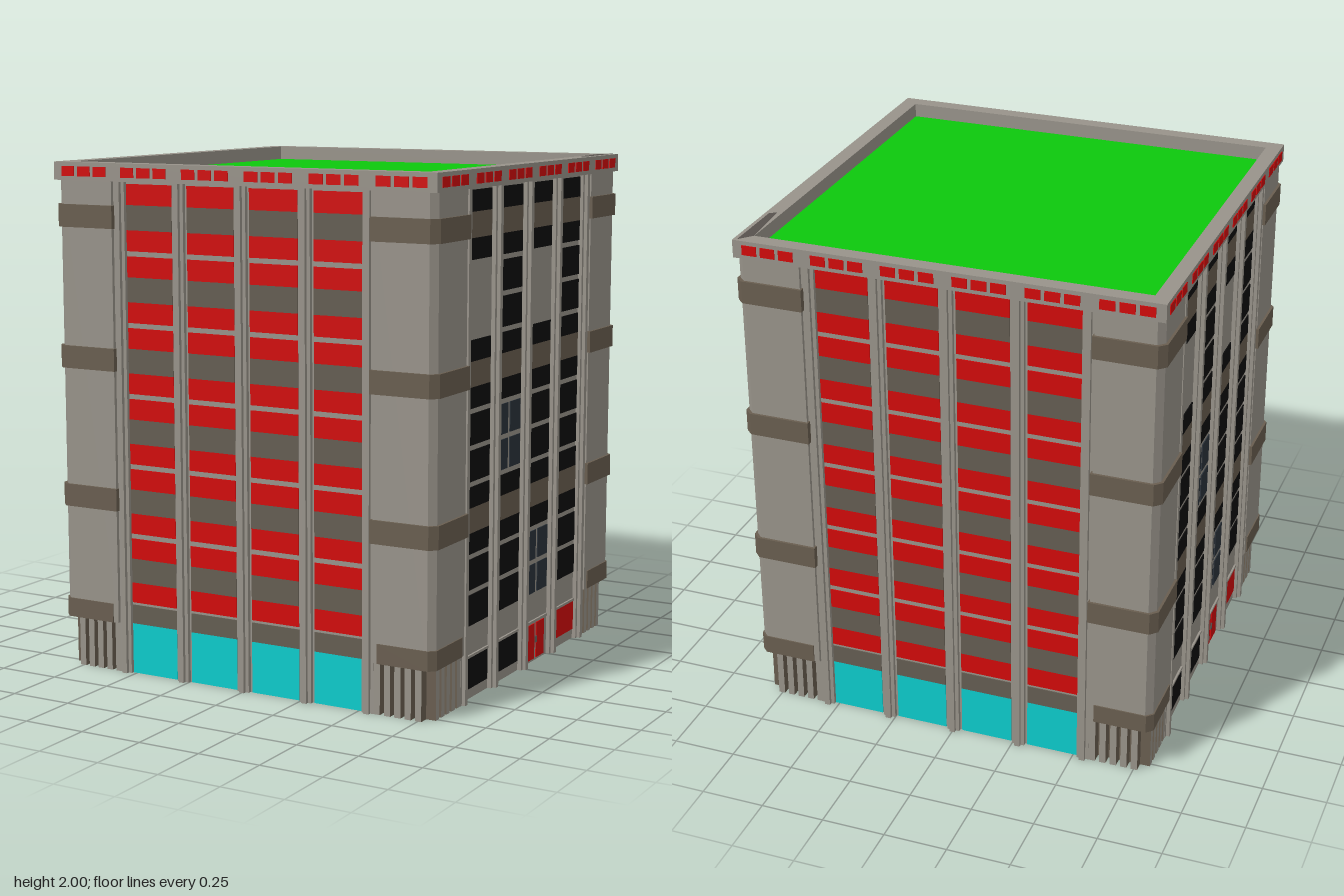
import * as THREE from 'three';

const mat = (name, color) => {
  const m = new THREE.MeshStandardMaterial({ color, side: THREE.DoubleSide });
  m.name = name;
  return m;
};
const M = {
  concrete: mat('concrete grey', 0x98938a),
  band: mat('band brown', 0x695e50),
  spandrel: mat('spandrel brown', 0x645d52),
  red: mat('red', 0xd20a0a),
  black: mat('black glass', 0x0d0d0d),
  blue: mat('slate glass', 0x2b333b),
  cyan: mat('cyan glass', 0x0ccccc),
  green: mat('roof green', 0x0cc80c),
  shade: mat('dark gap', 0x57524e),
};

const WALL = 0.79;                               // facade plane
const COLS = [-0.4125, -0.1375, 0.1375, 0.4125]; // window columns
const PILLARS = [-0.5425, -0.275, 0, 0.275, 0.5425];
const COL_W = 0.207;

// Box from x centre, width, y range and z range
function block(parent, name, m, x, w, y0, y1, z0, z1) {
  const mesh = new THREE.Mesh(new THREE.BoxGeometry(w, y1 - y0, z1 - z0), m);
  mesh.position.set(x, (y0 + y1) / 2, (z0 + z1) / 2);
  mesh.name = name;
  parent.add(mesh);
}

// Thin plate set through the facade plane
const plate = (p, name, m, x, w, y0, y1) =>
  block(p, name, m, x, w, y0, y1, WALL - 0.004, WALL + 0.004);

// L-shaped corner ring section with a chamfered outer edge
function cornerPiece(parent, name, m, start, inner, outer, chamfer, y0, y1) {
  const c = outer - chamfer;
  const pts = [[start, inner], [start, outer], [c, outer], [outer, c],
    [outer, start], [inner, start], [inner, inner]];
  const shape = new THREE.Shape(pts.map(([x, y]) => new THREE.Vector2(x, y)));
  const geo = new THREE.ExtrudeGeometry(shape, { depth: y1 - y0, bevelEnabled: false });
  geo.rotateX(-Math.PI / 2).translate(0, y0, 0);
  const mesh = new THREE.Mesh(geo, m);
  mesh.name = name;
  parent.add(mesh);
}

// Parts shared by all four sides
function baseFacade(name) {
  const g = new THREE.Group();
  g.name = name;
  const wall = new THREE.Mesh(new THREE.PlaneGeometry(1.14, 1.93), M.concrete);
  wall.position.set(0, 0.965, WALL);
  wall.name = 'wall';
  g.add(wall);
  for (const x of PILLARS) {
    block(g, 'pillar', M.concrete, x, 0.05, 0, 1.93, WALL, 0.806);
    block(g, 'pillarRib', M.concrete, x, 0.022, 0, 1.93, 0.806, 0.82);
  }
  // Small parapet openings in groups of three
  for (let i = 0; i < 6; i++)
    for (const k of [-1, 0, 1])
      block(g, 'parapetWindow', M.red, (i - 2.5) * 0.275 + k * 0.0735, 0.058, 1.946, 1.984, 0.825, 0.831);
  return g;
}

function redFacade(name) {
  const g = baseFacade(name);
  for (const x of COLS) {
    plate(g, 'shopWindow', M.cyan, x, COL_W, 0, 0.2);
    plate(g, 'lowSpandrel', M.spandrel, x, COL_W, 0.2, 0.275);
    for (let i = 0; i < 6; i++) {
      const s = 0.275 + i * 0.276;
      plate(g, 'lowerWindow', M.red, x, COL_W, s + 0.01, s + 0.09);
      plate(g, 'spandrel', M.spandrel, x, COL_W, s + 0.09, s + 0.186);
      plate(g, 'upperWindow', M.red, x, COL_W, s + 0.186, s + 0.266);
    }
  }
  return g;
}

function darkFacade(name) {
  const g = baseFacade(name);
  // Special two-storey bays: [column, storey pair]
  const blank = ['0,2', '2,2'], glazed = ['1,1', '2,0'];
  COLS.forEach((x, c) => {
    for (let i = 0; i < 3; i++) {
      const s = 0.275 + i * 0.552, key = `${c},${i}`;
      for (const y of [s + 0.01, s + 0.148]) {
        if (glazed.includes(key)) {
          for (const k of [-1, 1])
            plate(g, 'slateWindow', M.blue, x + k * 0.056, 0.093, y, y + 0.118);
        } else if (!blank.includes(key)) {
          plate(g, 'tallWindow', M.black, x, COL_W, y, y + 0.118);
        }
      }
      plate(g, 'windowBelowBand', M.black, x, COL_W, s + 0.286, s + 0.366);
      plate(g, 'spandrel', M.band, x, COL_W, s + 0.366, s + 0.462);
      plate(g, 'windowAboveBand', M.black, x, COL_W, s + 0.462, s + 0.542);
    }
    if (c === 2) {
      for (const k of [-1, 1]) {
        plate(g, 'doorLeaf', M.red, x + k * 0.046, 0.073, 0.01, 0.155);
        block(g, 'doorHandle', M.shade, x + k * 0.005, 0.005, 0.075, 0.1, WALL, 0.798);
      }
    } else {
      plate(g, 'groundWindow', c === 3 ? M.red : M.black, x, COL_W, 0.04, 0.16);
    }
    block(g, 'groundLintel', M.concrete, x, COL_W, 0.162, 0.172, WALL, 0.798);
  });
  return g;
}

// Corner pier with bands above a ribbed foot
function corner() {
  const g = new THREE.Group();
  g.name = 'corner';
  cornerPiece(g, 'pier', M.concrete, 0.567, 0.765, 0.82, 0.025, 0.2, 1.93);
  cornerPiece(g, 'lowBand', M.band, 0.59, 0.77, 0.825, 0.025, 0.2, 0.275);
  for (const y of [0.65, 1.2, 1.75])
    cornerPiece(g, 'band', M.band, 0.56, 0.77, 0.83, 0.028, y, y + 0.088);
  cornerPiece(g, 'foot', M.band, 0.565, 0.752, 0.765, 0.01, 0, 0.2);
  // Ribs: grey outer face, brown flanks
  const faces = [M.band, M.band, M.band, M.band, M.concrete, M.concrete];
  for (const side of [0, 1]) {
    const ribs = new THREE.Group();
    ribs.name = 'footRibs';
    for (let i = 0; i < 5; i++) {
      const x = 0.58 + i * 0.043;
      block(ribs, 'rib', faces, side ? x : -x, 0.026, 0, 0.2, 0.76, 0.805);
    }
    ribs.rotation.y = side ? Math.PI : Math.PI / 2;
    if (side) ribs.scale.x = -1;
    g.add(ribs);
  }
  // Mirror the x-facing row onto the pier's own corner
  g.children[g.children.length - 2].scale.x = -1;
  return g;
}

export function createModel() {
  const model = new THREE.Group();
  model.name = 'officeTower';

  for (let i = 0; i < 4; i++) {
    const face = i % 2 ? darkFacade('sideFacade') : redFacade('mainFacade');
    face.rotation.y = i * Math.PI / 2;
    const c = corner();
    c.rotation.y = i * Math.PI / 2;
    model.add(face, c);
  }

  // Parapet ring
  const square = (r) => [[-r, -r], [r, -r], [r, r], [-r, r]].map(([x, y]) => new THREE.Vector2(x, y));
  const ring = new THREE.Shape(square(0.828));
  ring.holes.push(new THREE.Path(square(0.767)));
  const parapet = new THREE.Mesh(
    new THREE.ExtrudeGeometry(ring, { depth: 0.07, bevelEnabled: false }).rotateX(-Math.PI / 2), M.concrete);
  parapet.position.y = 1.93;
  parapet.name = 'parapet';

  // Dark wedge-shaped gap in the parapet top
  const wedge = new THREE.Shape([[0.767, 0.77], [0.785, 0.535], [0.812, 0.555], [0.812, 0.82]]
    .map(([x, y]) => new THREE.Vector2(x, y)));
  const gap = new THREE.Mesh(new THREE.ShapeGeometry(wedge).rotateX(-Math.PI / 2), M.shade);
  gap.position.y = 2.001;
  gap.name = 'parapetGap';

  const roof = new THREE.Mesh(new THREE.PlaneGeometry(1.54, 1.54).rotateX(-Math.PI / 2), M.green);
  roof.position.y = 1.945;
  roof.name = 'roof';

  model.add(parapet, gap, roof);
  return model;
}
